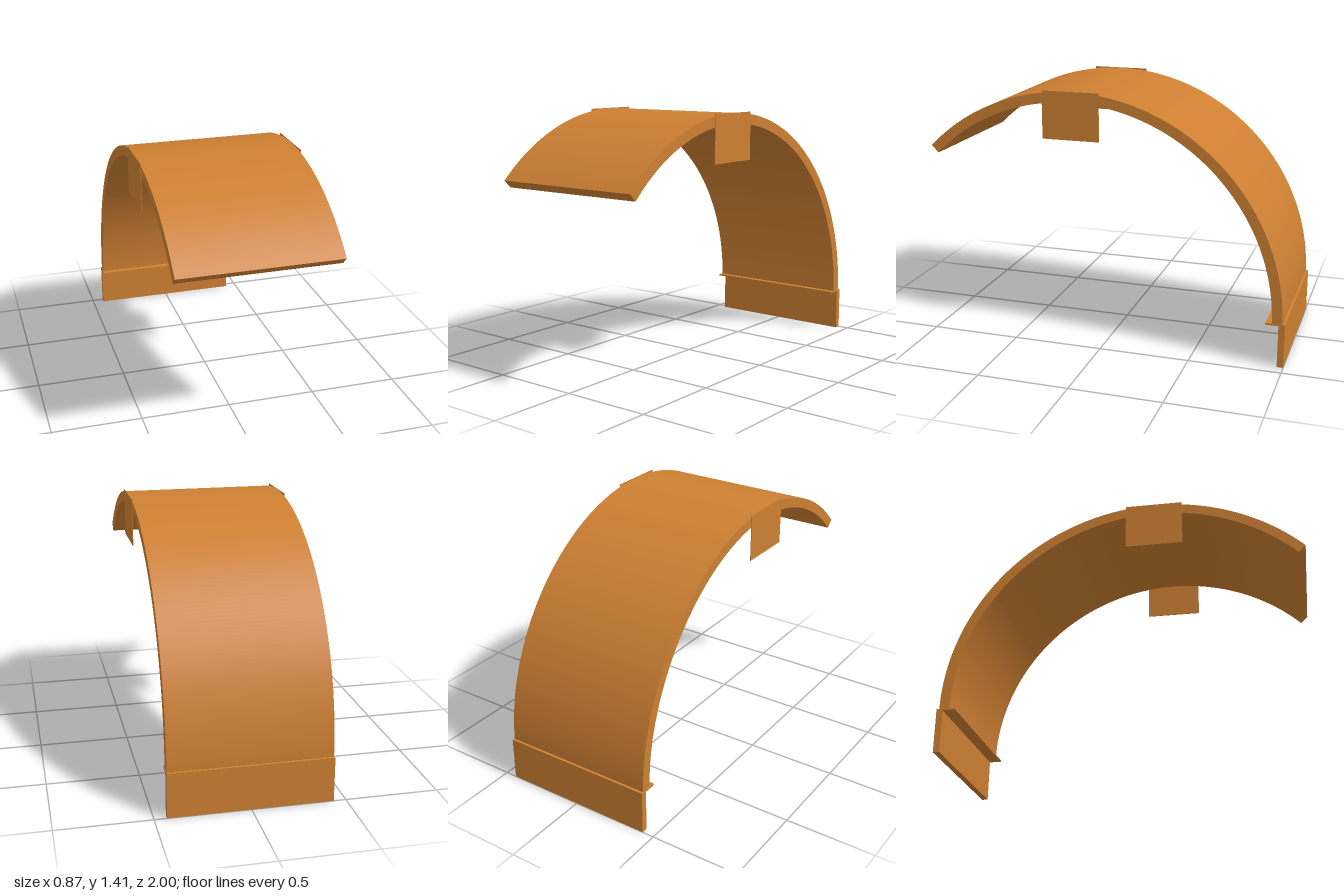
import * as THREE from 'three';
import { toCreasedNormals } from 'three/addons/utils/BufferGeometryUtils.js';

const bronze = new THREE.MeshStandardMaterial({ color: 0xcd7f32 });
bronze.name = 'bronze';

const HALF_WIDTH = 0.435;
const PLATE = 0.003;

export function createModel() {
  const group = new THREE.Group();
  group.name = 'archedCover';

  function add(name, geometry) {
    const mesh = new THREE.Mesh(geometry, bronze);
    mesh.name = name;
    group.add(mesh);
    return mesh;
  }

  // Box given by its limits on each axis
  function addBox(name, x0, x1, y0, y1, z0, z1) {
    const mesh = add(name, new THREE.BoxGeometry(x1 - x0, y1 - y0, z1 - z0));
    mesh.position.set((x0 + x1) / 2, (y0 + y1) / 2, (z0 + z1) / 2);
  }

  // Curved shell: ring sector drawn in (z, y), extruded across the width
  const cz = 0.18, cy = 0.24, outer = 1.166, inner = 1.11;
  const profile = new THREE.Shape();
  profile.absarc(cz, cy, outer, Math.PI / 4, Math.PI, false);
  profile.absarc(cz, cy, inner, Math.PI, Math.PI / 4, true);
  profile.closePath();
  const width = 2 * (HALF_WIDTH - PLATE);
  const shell = new THREE.ExtrudeGeometry(profile, { depth: width, bevelEnabled: false, curveSegments: 64 });
  shell.translate(0, 0, -width / 2);
  shell.rotateY(-Math.PI / 2);
  add('archShell', toCreasedNormals(shell, 0.5));

  // Straight skirt below the back edge, with a thin ledge inside
  addBox('backSkirt', -HALF_WIDTH, HALF_WIDTH, 0, 0.243, -1, -0.966);
  addBox('innerLedge', -HALF_WIDTH, HALF_WIDTH, 0.234, 0.243, -0.966, -0.896);

  // Thin side tabs at the crown
  for (const [name, side] of [['leftTab', 1], ['rightTab', -1]]) {
    const x = side * (HALF_WIDTH - PLATE / 2);
    addBox(name, x - PLATE / 2, x + PLATE / 2, 1.148, 1.408, 0.02, 0.338);
  }

  return group;
}
